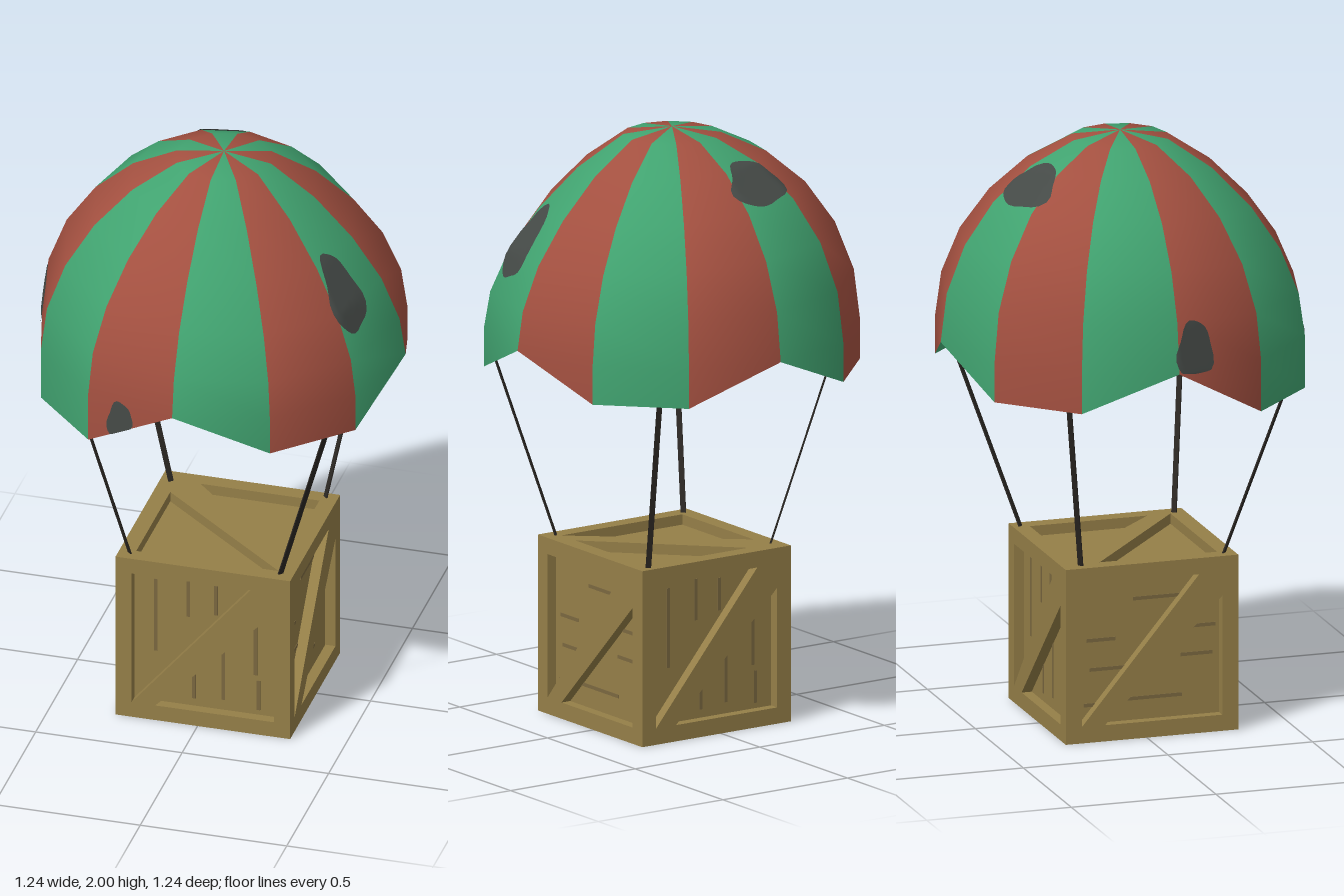
import * as THREE from 'three';

const mat = (name, color, side = THREE.FrontSide) => {
  const m = new THREE.MeshStandardMaterial({ color, side });
  m.name = name;
  return m;
};
const RAD = Math.PI / 180, SIDES = 12, ROWS = 7, R = 0.62, EQUATOR = 1.33;
const SAG = [0, 0, 0.6, 1, 1, 0.7, 0, 0];

// Canopy corner: rows 0-6 run from apex to equator, row 7 is the hanging hem
function corner(i, j) {
  i = ((i % SIDES) + SIDES) % SIDES;
  const a = i * 30 * RAD;
  const r = R * Math.sin(Math.min(j, 6) * 15 * RAD);
  let y = EQUATOR + 0.67 * Math.cos(Math.min(j, 6) * 15 * RAD);
  y -= SAG[j] * (0.035 + 0.035 * Math.cos(a - 40 * RAD));
  if (j === ROWS && i % 3) y = i === 4 || i === 5 ? 1.155 : 1.2;
  return new THREE.Vector3(r * Math.cos(a), y, r * Math.sin(a));
}

// Any point on the faceted canopy, from an angle in degrees and a row number
function onCanopy(deg, row) {
  const u = deg / 30, i = Math.floor(u);
  const t = Math.max(0, Math.min(ROWS, row)), j = Math.min(ROWS - 1, Math.floor(t));
  const upper = corner(i, j).lerp(corner(i + 1, j), u - i);
  const lower = corner(i, j + 1).lerp(corner(i + 1, j + 1), u - i);
  return upper.lerp(lower, t - j);
}

function geometryOf(points, index) {
  const g = new THREE.BufferGeometry().setFromPoints(points);
  g.setIndex(index);
  g.computeVertexNormals();
  return g;
}

// Striped dome with four notches in its hem
function canopyGeometry() {
  const points = [corner(0, 0)];
  for (let j = 1; j <= ROWS; j++) for (let i = 0; i < SIDES; i++) points.push(corner(i, j));
  const id = (i, j) => {
    i %= SIDES;
    if (j === 0) return 0;
    if (j === ROWS && i % 3 === 0) j = 6;
    return 1 + (j - 1) * SIDES + i;
  };
  const index = [], starts = [];
  for (const parity of [0, 1]) {
    starts.push(index.length);
    for (let i = parity; i < SIDES; i += 2) for (let j = 0; j < ROWS; j++) {
      const a = id(i, j), b = id(i + 1, j), c = id(i, j + 1), d = id(i + 1, j + 1);
      if (a !== b && a !== c) index.push(a, b, c);
      if (b !== d && c !== d) index.push(b, d, c);
    }
  }
  const g = geometryOf(points, index);
  g.addGroup(0, starts[1], 0);
  g.addGroup(starts[1], index.length - starts[1], 1);
  return g;
}

// Irregular blob that follows the canopy surface
function patchGeometry(deg, row, halfDeg, halfRow, scale) {
  const rings = 7, segs = 28, points = [], index = [];
  const add = (d, t) => {
    const p = onCanopy(d, t);
    p.y -= EQUATOR;
    p.multiplyScalar(scale);
    p.y += EQUATOR;
    points.push(p);
  };
  add(deg, row);
  for (let k = 1; k <= rings; k++) for (let s = 0; s < segs; s++) {
    const a = s / segs * Math.PI * 2;
    const q = k / rings * (1 + 0.07 * Math.sin(3 * a) + 0.05 * Math.sin(5 * a + 1));
    add(deg + halfDeg * q * Math.cos(a), row + halfRow * q * Math.sin(a));
  }
  for (let s = 0; s < segs; s++) {
    const n = (s + 1) % segs;
    index.push(0, 1 + s, 1 + n);
    for (let k = 0; k < rings - 1; k++) {
      const o = 1 + k * segs;
      index.push(o + s, o + segs + s, o + n, o + n, o + segs + s, o + segs + n);
    }
  }
  return geometryOf(points, index);
}

export function createModel() {
  const root = new THREE.Group();
  root.name = 'supplyDrop';
  const green = mat('green cloth', 0x41a370, THREE.DoubleSide);
  const red = mat('red cloth', 0xa35040, THREE.DoubleSide);
  const grey = mat('dark patch', 0x454a47, THREE.DoubleSide);
  const wood = mat('wood', 0x957f48);
  const grain = mat('wood grain', 0x7b6840);
  const black = mat('rope', 0x2b2723);
  const add = (parent, name, geometry, material) => {
    const m = new THREE.Mesh(geometry, material);
    m.name = name;
    parent.add(m);
    return m;
  };

  add(root, 'canopy', canopyGeometry(), [green, red]);

  // Patches: angle, row, half angle, half rows; one skin outside, one inside
  const patches = [[254, 2.4, 18, 0.58], [22, 3.75, 9, 0.85], [174, 5.6, 6.5, 0.6], [108.5, 6.6, 4.5, 0.6]];
  for (const p of patches) for (const scale of [1.006, 0.994])
    add(root, 'canopyPatch', patchGeometry(...p, scale), grey);

  // Crate: a core with six braced frames around it
  const crate = new THREE.Group();
  crate.name = 'crate';
  crate.position.set(0.018, 0.299, 0.018);
  root.add(crate);
  const H = 0.298, D = 0.035, I = H - 0.055, B = 0.08;
  add(crate, 'crateCore', new THREE.BoxGeometry(2 * (H - D), 2 * (H - D), 2 * (H - D)), wood);

  const frame = new THREE.Shape([[-H, -H], [H, -H], [H, H], [-H, H]].map(p => new THREE.Vector2(...p)));
  for (const tri of [[[-I, -I], [-I, I], [I - B, I]], [[B - I, -I], [I, I - B], [I, -I]]])
    frame.holes.push(new THREE.Path(tri.map(p => new THREE.Vector2(...p))));
  const frameGeometry = new THREE.ExtrudeGeometry(frame, { depth: D, bevelEnabled: false });
  frameGeometry.translate(0, 0, H - D);

  // Grain streaks: x, y, length
  const streaks = [[-0.17, 0.08, 0.27], [-0.06, 0.16, 0.14], [0.035, 0.165, 0.11],
    [0.17, 0.01, 0.21], [-0.04, -0.165, 0.1], [0.06, -0.1, 0.21], [0.18, -0.17, 0.11]];
  const h = Math.PI / 2;
  const faces = [['front', 0, 0, 0], ['left', 0, h, 0], ['back', 0, 2 * h, 0], ['right', 0, -h, 0],
    ['top', -h, 0, h], ['bottom', h, 0, 0]];
  for (const [name, x, y, z] of faces) {
    const side = new THREE.Group();
    side.name = name + 'CrateSide';
    side.rotation.set(x, y, z);
    crate.add(side);
    add(side, 'bracedFrame', frameGeometry, wood);
    if (x !== 0) continue;
    const marks = new THREE.Group();
    marks.name = 'grainMarks';
    marks.rotation.z = name === 'left' || name === 'right' ? -h : 0;
    side.add(marks);
    for (const [sx, sy, len] of streaks)
      add(marks, 'grainStreak', new THREE.BoxGeometry(0.012, len, 0.004), grain).position.set(sx, sy, H - D);
  }

  // Flat straps from the crate corners to the hem
  const straps = [
    [[0.268, 0.275], [0.455, 0.365]], [[-0.24, 0.275], [-0.345, 0.475]],
    [[-0.24, -0.215], [-0.415, -0.315]], [[0.272, -0.25], [0.37, -0.455]]];
  for (const [[x0, z0], [x1, z1]] of straps) {
    const a = new THREE.Vector3(x0, 0.585, z0), b = new THREE.Vector3(x1, 1.21, z1);
    const up = b.clone().sub(a), length = up.length();
    up.normalize();
    const across = new THREE.Vector3(-Math.sign(z0), 0, Math.sign(x0)).normalize();
    across.addScaledVector(up, -across.dot(up)).normalize();
    const strap = add(root, 'strap', new THREE.BoxGeometry(0.018, length, 0.005), black);
    strap.quaternion.setFromRotationMatrix(
      new THREE.Matrix4().makeBasis(across, up, across.clone().cross(up)));
    strap.position.copy(a).add(b).multiplyScalar(0.5);
  }
  return root;
}
